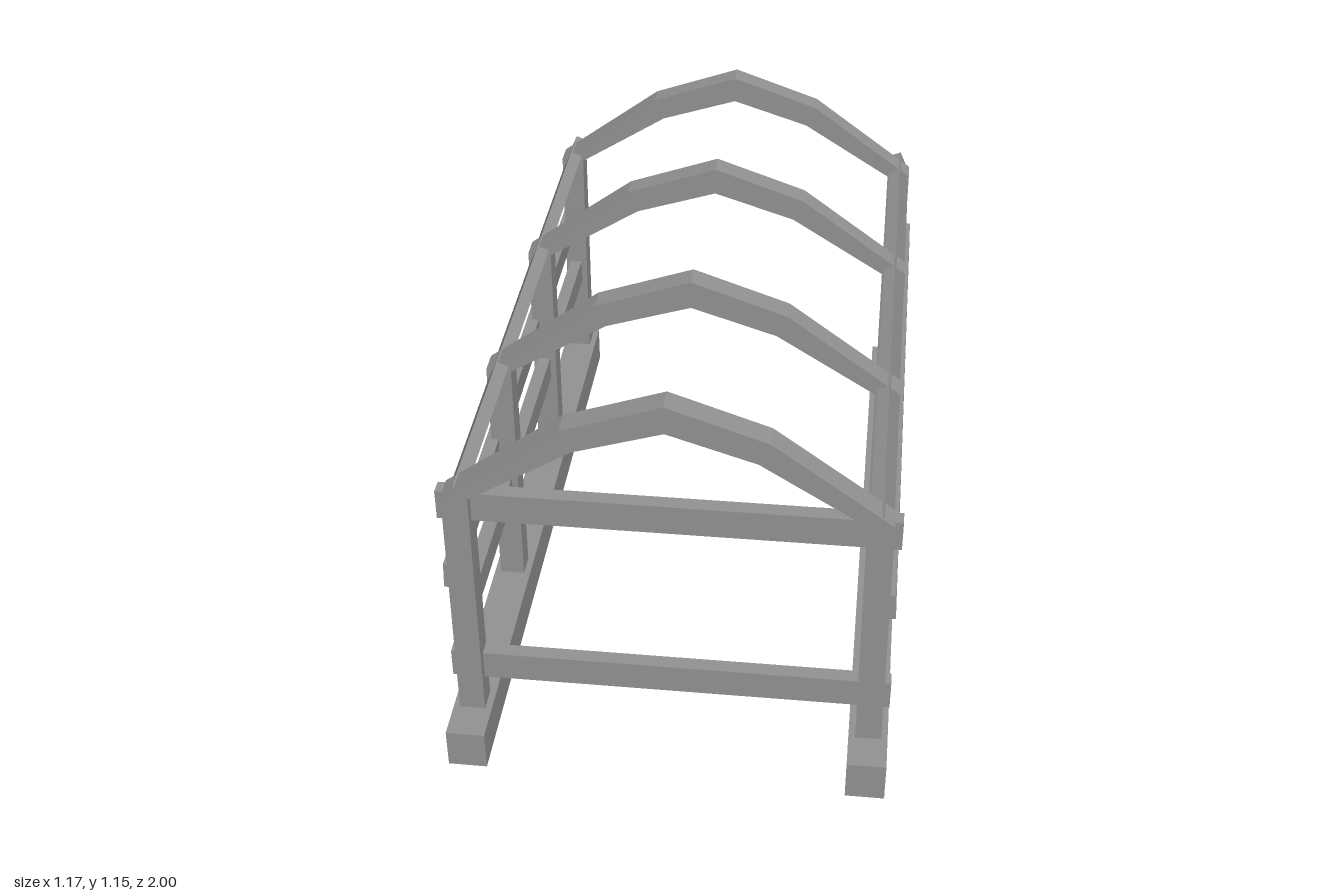
import * as THREE from 'three';

const material = new THREE.MeshStandardMaterial({ color: 0x929292, flatShading: true });

// Closed outline in x/y, extruded along z between z0 and z1
function beam(name, points, z0, z1) {
  const shape = new THREE.Shape(points.map(([x, y]) => new THREE.Vector2(x, y)));
  const geometry = new THREE.ExtrudeGeometry(shape, { depth: z1 - z0, bevelEnabled: false });
  geometry.translate(0, 0, z0);
  const mesh = new THREE.Mesh(geometry, material);
  mesh.name = name;
  return mesh;
}

function box(name, w, h, d, x, y, z) {
  const mesh = new THREE.Mesh(new THREE.BoxGeometry(w, h, d), material);
  mesh.position.set(x, y, z);
  mesh.name = name;
  return mesh;
}

// Lengthwise plank whose centre runs from (y0, z0) to (y1, z1)
function plank(name, w, h, x, y0, z0, y1, z1) {
  const mesh = box(name, w, h, Math.hypot(y1 - y0, z1 - z0), x, (y0 + y1) / 2, (z0 + z1) / 2);
  mesh.rotation.x = Math.atan2(y1 - y0, z0 - z1);
  return mesh;
}

export function createModel() {
  const model = new THREE.Group();
  model.name = 'timberFrame';

  // Four frames: two posts under a faceted arch
  const half = 0.0335;
  const arch = [
    [0.563, 0.837], [0.256, 1.063], [0, 1.152], [-0.256, 1.063], [-0.563, 0.837],
    [-0.495, 0.833], [-0.228, 1.001], [0, 1.074], [0.228, 1.001], [0.495, 0.833],
  ];
  [0.865, 0.302, -0.319, -0.922].forEach((z) => {
    const frame = new THREE.Group();
    frame.name = 'frame';
    frame.add(beam('arch', arch, z - half, z + half));
    for (const s of [1, -1]) {
      const post = [[0.499, 0.11], [0.568, 0.11], [0.563, 0.837], [0.495, 0.833]];
      frame.add(beam('post', post.map(([x, y]) => [x * s, y]), z - half, z + half));
    }
    model.add(frame);
  });

  for (const s of [1, -1]) {
    const side = new THREE.Group();
    side.name = s > 0 ? 'leftSide' : 'rightSide';

    // Ground sill
    side.add(box('sill', 0.104, 0.115, 1.98, s * 0.533, 0.0575, 0.01));

    // Eave rail, leaning with the roof
    const eave = plank('eaveRail', 0.036, 0.073, s * 0.531, 0.824, 0.89, 0.824, -1);
    eave.rotation.z = s * 0.41;
    side.add(eave);

    // Middle rail outside the posts
    const middle = plank('middleRail', 0.036, 0.077, s * 0.563, 0.563, 0.88, 0.563, -1);
    middle.rotation.z = s * 0.04;
    side.add(middle);

    // Lower rail, sloping more on one side
    const [y0, y1] = s > 0 ? [0.435, 0.264] : [0.439, 0.412];
    side.add(plank('lowerRail', 0.038, 0.074, s * 0.534, y0, 0.86, y1, -0.998));
    model.add(side);
  }

  // Front cross rails
  model.add(box('upperCrossRail', 1.168, 0.084, 0.04, 0, 0.791, 0.855));
  model.add(box('lowerCrossRail', 1.168, 0.084, 0.04, 0, 0.253, 0.855));

  return model;
}
